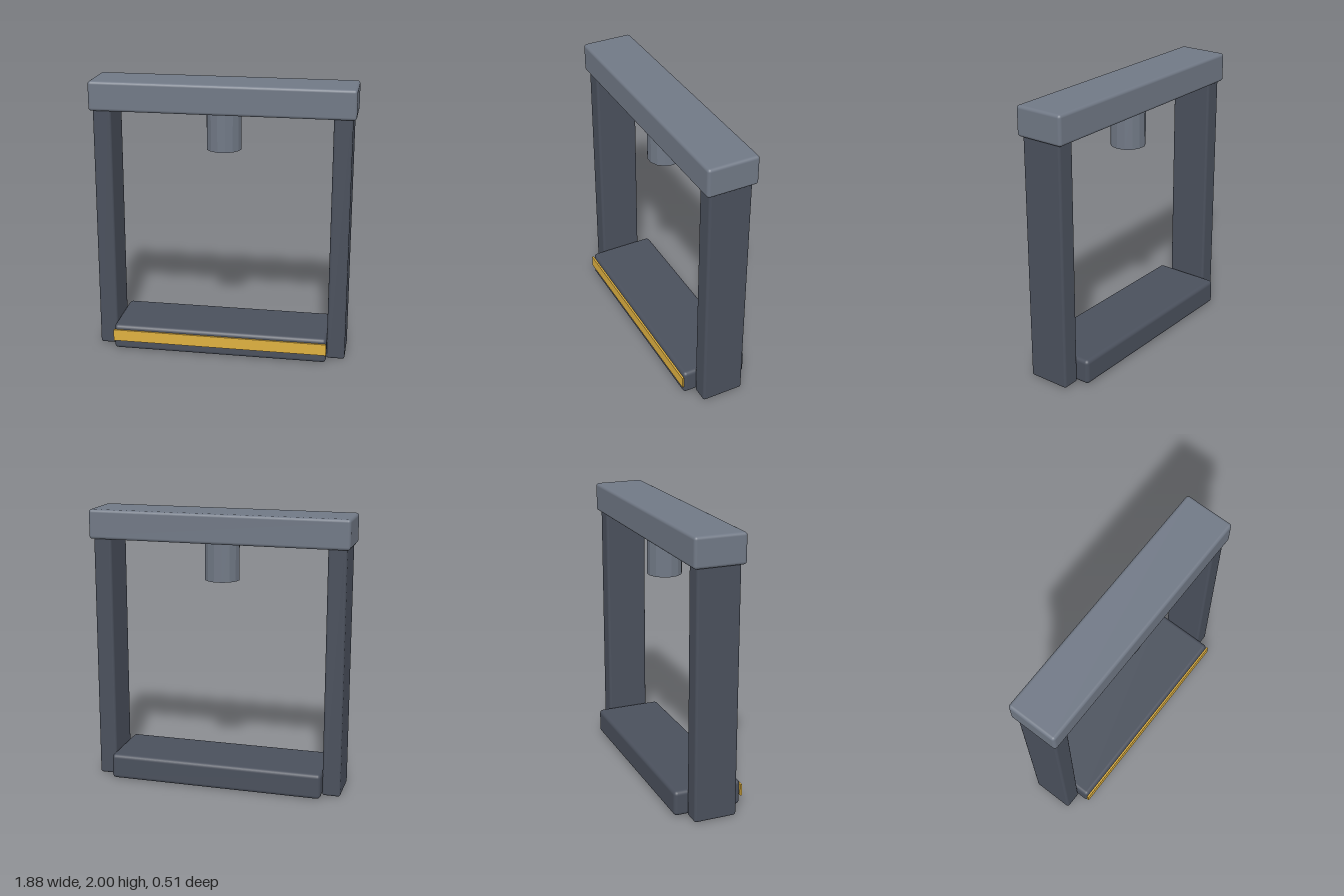
import * as THREE from 'three';
import { RoundedBoxGeometry } from 'three/addons/geometries/RoundedBoxGeometry.js';

export function createModel() {
  const model = new THREE.Group();
  model.name = 'gantryFrame';

  const dark = new THREE.MeshStandardMaterial({ color: 0x4a505c });
  const steel = new THREE.MeshStandardMaterial({ color: 0x707885 });
  const steelFaceted = new THREE.MeshStandardMaterial({ color: 0x707885, flatShading: true });
  const yellow = new THREE.MeshStandardMaterial({ color: 0xdeb040 });

  const add = (name, geometry, material, x, y, z) => {
    const mesh = new THREE.Mesh(geometry, material);
    mesh.name = name;
    mesh.position.set(x, y, z);
    model.add(mesh);
    return mesh;
  };
  const rounded = (w, h, d, r) => new RoundedBoxGeometry(w, h, d, 3, r);

  // Base slab between the posts, with a warning strip along its front
  add('base', rounded(1.574, 0.185, 0.497, 0.028), dark, 0, 0.0965, -0.006);
  add('warningStrip', new THREE.BoxGeometry(1.574, 0.085, 0.013), yellow, 0, 0.114, 0.249);

  // Side posts
  for (const [name, side] of [['leftPost', 1], ['rightPost', -1]]) {
    add(name, rounded(0.132, 1.8, 0.311, 0.018), dark, side * 0.85, 0.902, -0.005);
  }

  // Top beam with the hanging ram
  add('topBeam', rounded(1.88, 0.212, 0.37, 0.022), steel, 0, 1.894, -0.006);
  const ram = add('ram', new THREE.CylinderGeometry(0.125, 0.125, 0.3, 14), steelFaceted, 0, 1.66, -0.006);
  ram.rotation.y = Math.PI / 2;

  return model;
}
